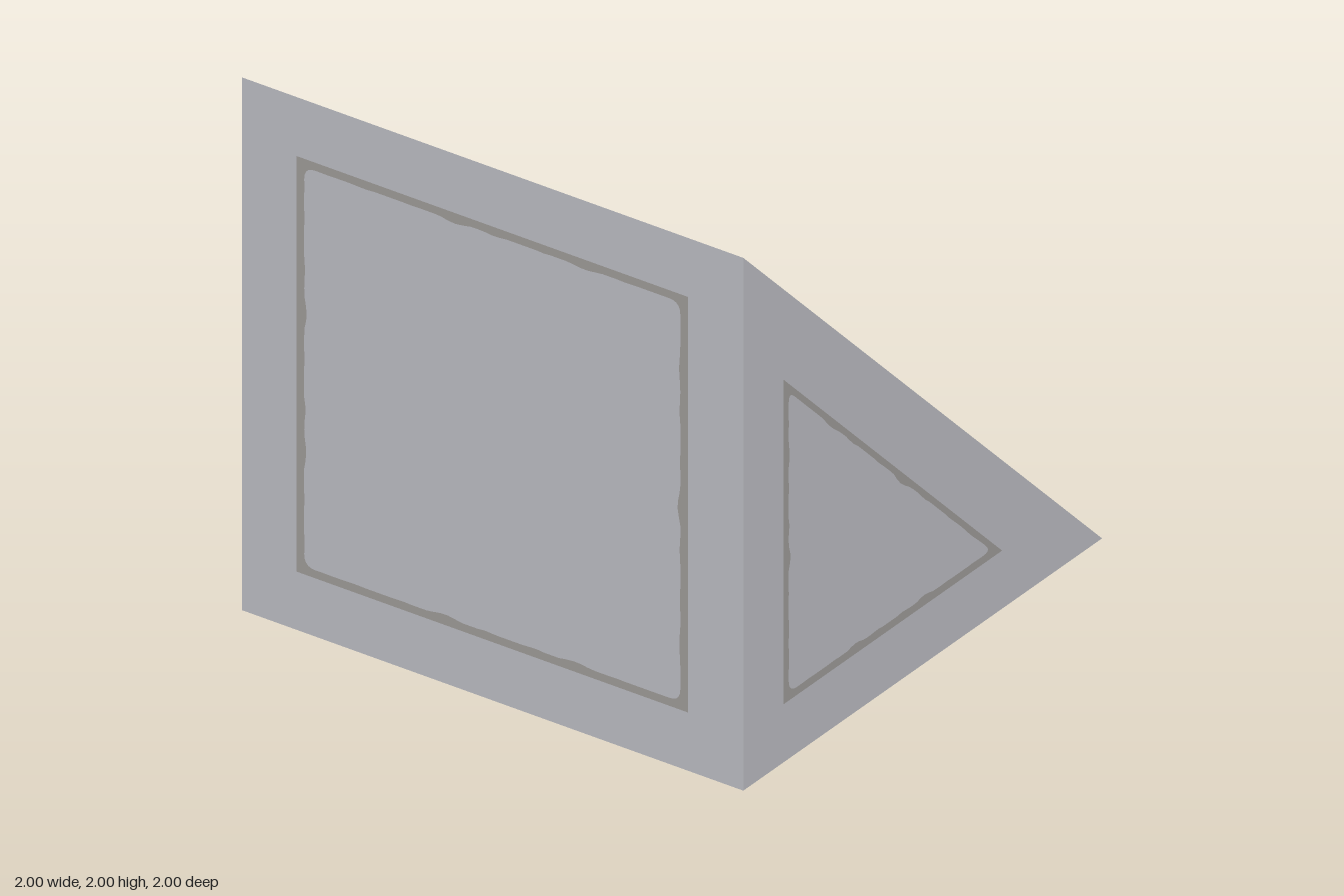
import * as THREE from 'three';

const LIFT = 0.002; // height of the painted lines above the faces

// Inner edge of a border: rounded corners and slightly worn, wavy sides (corners counter-clockwise)
function wornOutline(corners, radius, seed) {
  const pts = [];
  const n = corners.length;
  const at = (i) => new THREE.Vector2(...corners[(i + n) % n]);
  for (let i = 0; i < n; i++) {
    const a = at(i), b = at(i + 1), c = at(i + 2);
    const dir = b.clone().sub(a).normalize();
    const next = c.clone().sub(b).normalize();
    const inward = new THREE.Vector2(-dir.y, dir.x);
    const start = a.clone().addScaledVector(dir, radius);
    const end = b.clone().addScaledVector(dir, -radius);
    const steps = 48;
    for (let k = 0; k < steps; k++) {
      const t = k / steps;
      const s = t * 20 + seed + i * 5;
      const wear = Math.max(0, Math.sin(s * 1.7) * Math.sin(s * 0.83 + 1)) * 0.011 * Math.sin(Math.PI * t);
      pts.push(start.clone().lerp(end, t).addScaledVector(inward, wear));
    }
    const bend = new THREE.QuadraticBezierCurve(end, b, b.clone().addScaledVector(next, radius));
    pts.push(...bend.getPoints(5).slice(0, -1));
  }
  return pts;
}

// Flat border lying on a face with the given origin and in-plane axes
function border(name, outer, inner, origin, u, v, seed, material) {
  const shape = new THREE.Shape(outer.map((p) => new THREE.Vector2(...p)));
  shape.holes.push(new THREE.Path(wornOutline(inner, 0.045, seed)));
  const uAxis = new THREE.Vector3(...u).normalize();
  const vAxis = new THREE.Vector3(...v).normalize();
  const normal = uAxis.clone().cross(vAxis);
  const matrix = new THREE.Matrix4().makeBasis(uAxis, vAxis, normal);
  matrix.setPosition(new THREE.Vector3(...origin).addScaledVector(normal, LIFT));
  const mesh = new THREE.Mesh(new THREE.ShapeGeometry(shape).applyMatrix4(matrix), material);
  mesh.name = name;
  return mesh;
}

const rect = (w, h) => [[-w, -h], [w, -h], [w, h], [-w, h]];

export function createModel() {
  const group = new THREE.Group();
  group.name = 'wedgeBlock';
  const grey = new THREE.MeshStandardMaterial({ color: 0xbcbdc3 });
  grey.name = 'light grey';
  const line = new THREE.MeshStandardMaterial({ color: 0x9f9c99 });
  line.name = 'warm grey line';

  // Wedge body: upright front, slope running down to the back
  const profile = new THREE.Shape([[-1, 0], [1, 0], [-1, 2]].map((p) => new THREE.Vector2(...p)));
  const geometry = new THREE.ExtrudeGeometry(profile, { depth: 2, bevelEnabled: false });
  geometry.rotateY(Math.PI / 2).translate(-1, 0, 0);
  const body = new THREE.Mesh(geometry, grey);
  body.name = 'wedgeBody';
  group.add(body);

  // Borders on the square faces and the slope
  const outer = rect(0.78, 0.78), inner = rect(0.75, 0.75);
  const k = Math.SQRT2;
  group.add(
    border('frontBorder', outer, inner, [0, 1, 1], [1, 0, 0], [0, 1, 0], 1, line),
    border('bottomBorder', outer, inner, [0, 0, 0], [1, 0, 0], [0, 0, 1], 3, line),
    border('slopeBorder', rect(0.78, 0.78 * k), rect(0.75, 0.75 * k), [0, 1, 0], [-1, 0, 0], [0, 1, 1], 7, line),
  );

  // Triangular borders on the two sides
  const triOuter = [[-0.78, 0.22], [0.44, 0.22], [-0.78, 1.44]];
  const triInner = [[-0.75, 0.25], [0.38, 0.25], [-0.75, 1.38]];
  const mirror = (pts) => pts.map(([x, y]) => [-x, y]).reverse();
  group.add(
    border('leftBorder', triOuter, triInner, [1, 0, 0], [0, 0, -1], [0, 1, 0], 2, line),
    border('rightBorder', mirror(triOuter), mirror(triInner), [-1, 0, 0], [0, 0, 1], [0, 1, 0], 5, line),
  );
  return group;
}
